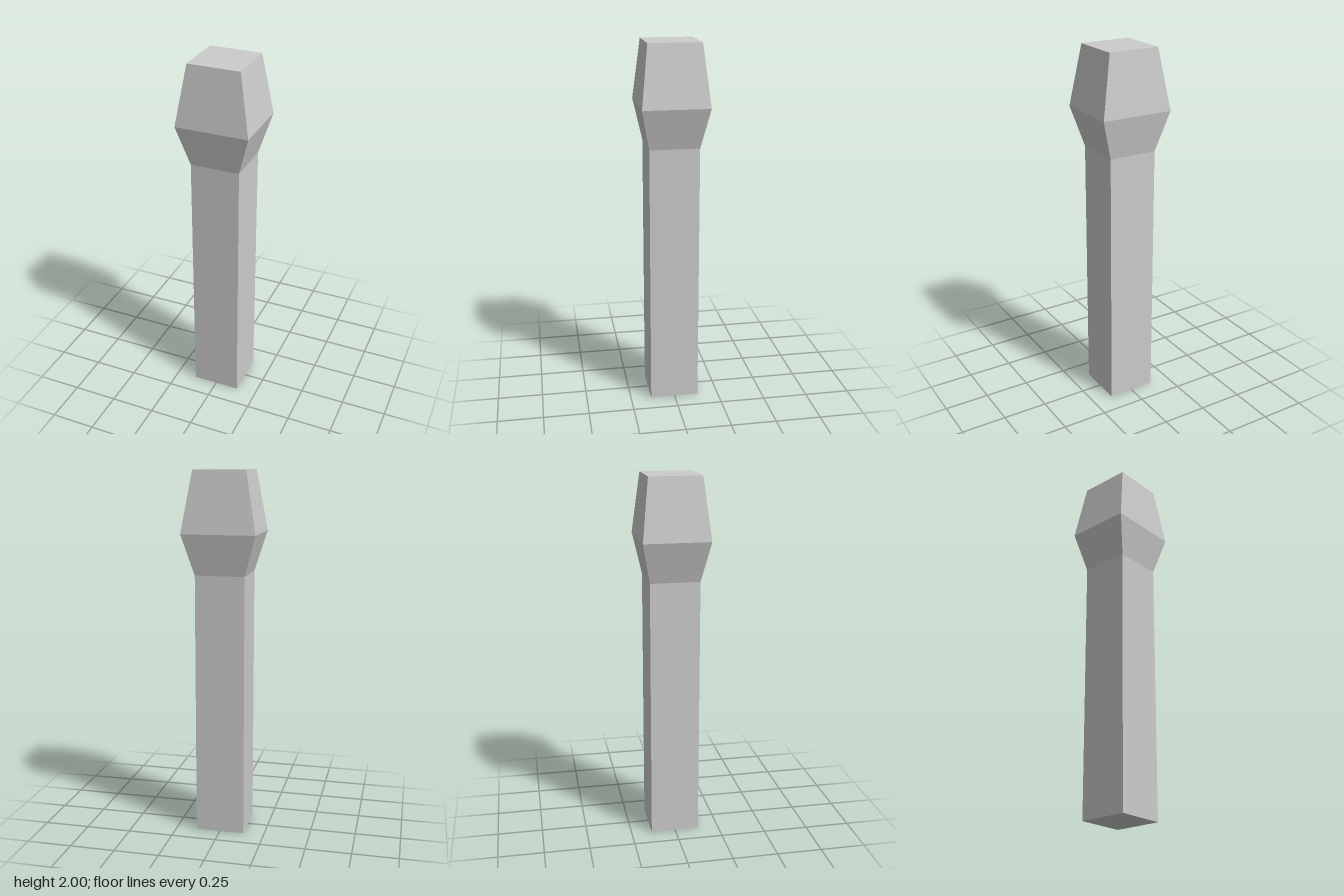
import * as THREE from 'three';

// Square cross-sections from the foot up: height, half width, half depth
const SECTIONS = [
  [0, 0.135, 0.135],    // foot
  [1.45, 0.135, 0.135], // top of the shaft
  [1.67, 0.2, 0.18],    // widest ring of the head
  [2, 0.142, 0.142],    // flat top
];

// Box with one row of vertices per cross-section, each moved to its section
function sectionedBox(sections) {
  const rows = sections.length - 1;
  const geometry = new THREE.BoxGeometry(2, rows, 2, 1, rows, 1);
  const pos = geometry.attributes.position;
  for (let i = 0; i < pos.count; i++) {
    const [y, halfWidth, halfDepth] = sections[Math.round(pos.getY(i) + rows / 2)];
    pos.setXYZ(i, pos.getX(i) * halfWidth, y, pos.getZ(i) * halfDepth);
  }
  geometry.computeVertexNormals();
  return geometry;
}

export function createModel() {
  const model = new THREE.Group();
  model.name = 'post';

  // Shaft and flared head are one continuous closed surface
  const material = new THREE.MeshStandardMaterial({ color: 0xcccccc, flatShading: true });
  const post = new THREE.Mesh(sectionedBox(SECTIONS), material);
  post.name = 'shaftWithFlaredHead';
  model.add(post);

  return model;
}
